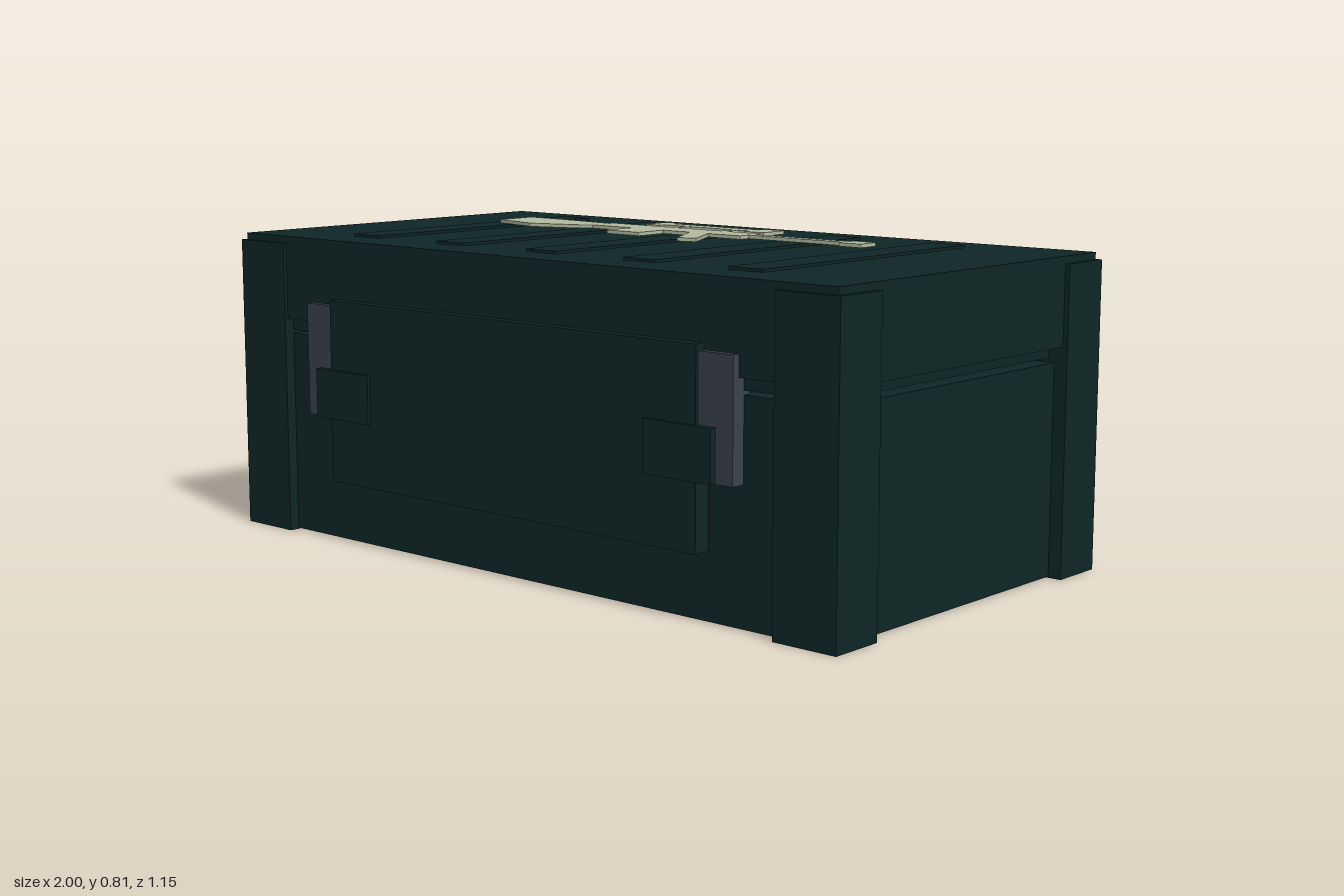
import * as THREE from 'three';

const mat = (name, color) => {
  const m = new THREE.MeshStandardMaterial({ color });
  m.name = name;
  return m;
};

export function createModel() {
  const green = mat('dark green', 0x0f2626);
  const grey = mat('steel grey', 0x3a424b);
  const sage = mat('pale sage', 0xb4baa0);
  const crate = new THREE.Group();
  crate.name = 'crate';

  const add = (name, geometry, material) => {
    const mesh = new THREE.Mesh(geometry, material);
    mesh.name = name;
    crate.add(mesh);
    return mesh;
  };
  // box given by its limits on each axis
  const box = (name, material, x0, x1, y0, y1, z0, z1) => {
    const g = new THREE.BoxGeometry(x1 - x0, y1 - y0, z1 - z0);
    g.translate((x0 + x1) / 2, (y0 + y1) / 2, (z0 + z1) / 2);
    return add(name, g, material);
  };
  // pair of boxes mirrored across x
  const pair = (name, material, x0, x1, ...rest) => {
    box(name + 'Left', material, x0, x1, ...rest);
    box(name + 'Right', material, -x1, -x0, ...rest);
  };

  // body and lid, with a narrow gap between them
  box('body', green, -0.965, 0.965, 0.003, 0.53, -0.475, 0.52);
  box('lidLip', green, -0.95, 0.95, 0.54, 0.57, -0.475, 0.52);
  box('lid', green, -0.988, 0.988, 0.57, 0.788, -0.49, 0.538);

  // corner posts
  pair('frontPost', green, 0.825, 1, 0, 0.77, 0.40, 0.547);
  pair('backPost', green, 0.825, 1, 0, 0.77, -0.5, -0.352);

  // raised ribs on the lid
  for (let i = -2; i <= 2; i++) {
    box('lidRib', green, i * 0.32 - 0.05, i * 0.32 + 0.05, 0.78, 0.795, -0.37, 0.42);
  }

  // front plate, latches and the blocks that hold them
  box('frontPlate', green, -0.62, 0.62, 0.165, 0.637, 0.5, 0.565);
  pair('latch', grey, 0.62, 0.72, 0.33, 0.622, 0.5, 0.557);
  pair('latchBlock', green, 0.47, 0.67, 0.33, 0.457, 0.5, 0.573);

  // hinges: a plate with a quarter-round knuckle
  pair('hingePlate', grey, 0.605, 0.815, 0.493, 0.637, -0.528, -0.47);
  for (const x of [-0.712, 0.712]) {
    const knuckle = new THREE.CylinderGeometry(0.043, 0.043, 0.225, 8, 1, false, Math.PI * 0.75, Math.PI / 2);
    knuckle.rotateZ(Math.PI / 2);
    knuckle.translate(x, 0.565, -0.531);
    add('hingeKnuckle', knuckle, grey);
  }

  // silhouette emblem, drawn upright in x and y
  const poly = (...pts) => new THREE.Shape(pts.map(([x, y]) => new THREE.Vector2(x, y)));
  const rect = (x0, x1, y0, y1) => poly([x0, y0], [x1, y0], [x1, y1], [x0, y1]);
  const emblemShapes = [
    poly([-0.567, 0.113], [-0.45, 0.113], [-0.257, 0.097], [-0.257, 0.032],
      [-0.28, 0.01], [-0.417, -0.037], [-0.567, -0.005]), // stock
    rect(-0.257, 0.25, 0.032, 0.113), // receiver
    rect(-0.118, -0.008, -0.06, 0.032), // magazine
    poly([0.083, 0.032], [0.145, 0.032], [0.212, -0.092], [0.163, -0.107]), // grip
    rect(0.25, 0.545, 0.064, 0.092), // barrel
    rect(0.545, 0.61, 0.048, 0.107), // muzzle
    rect(-0.043, -0.027, 0.113, 0.16), // scope mounts
    rect(0.118, 0.139, 0.113, 0.16),
    rect(-0.118, 0.171, 0.16, 0.203), // scope tube and ends
    rect(-0.166, -0.118, 0.142, 0.225),
    rect(0.171, 0.235, 0.142, 0.225),
  ];
  const emblem = () => new THREE.ExtrudeGeometry(emblemShapes, { depth: 0.009, bevelEnabled: false });

  // on the lid
  const top = emblem();
  top.rotateX(-Math.PI / 2);
  top.translate(0, 0.805, 0);
  add('lidEmblem', top, sage);

  // on the back, hanging just clear of the panel
  const back = emblem();
  back.translate(0, 0.272, -0.519);
  add('backEmblem', back, sage);

  return crate;
}
